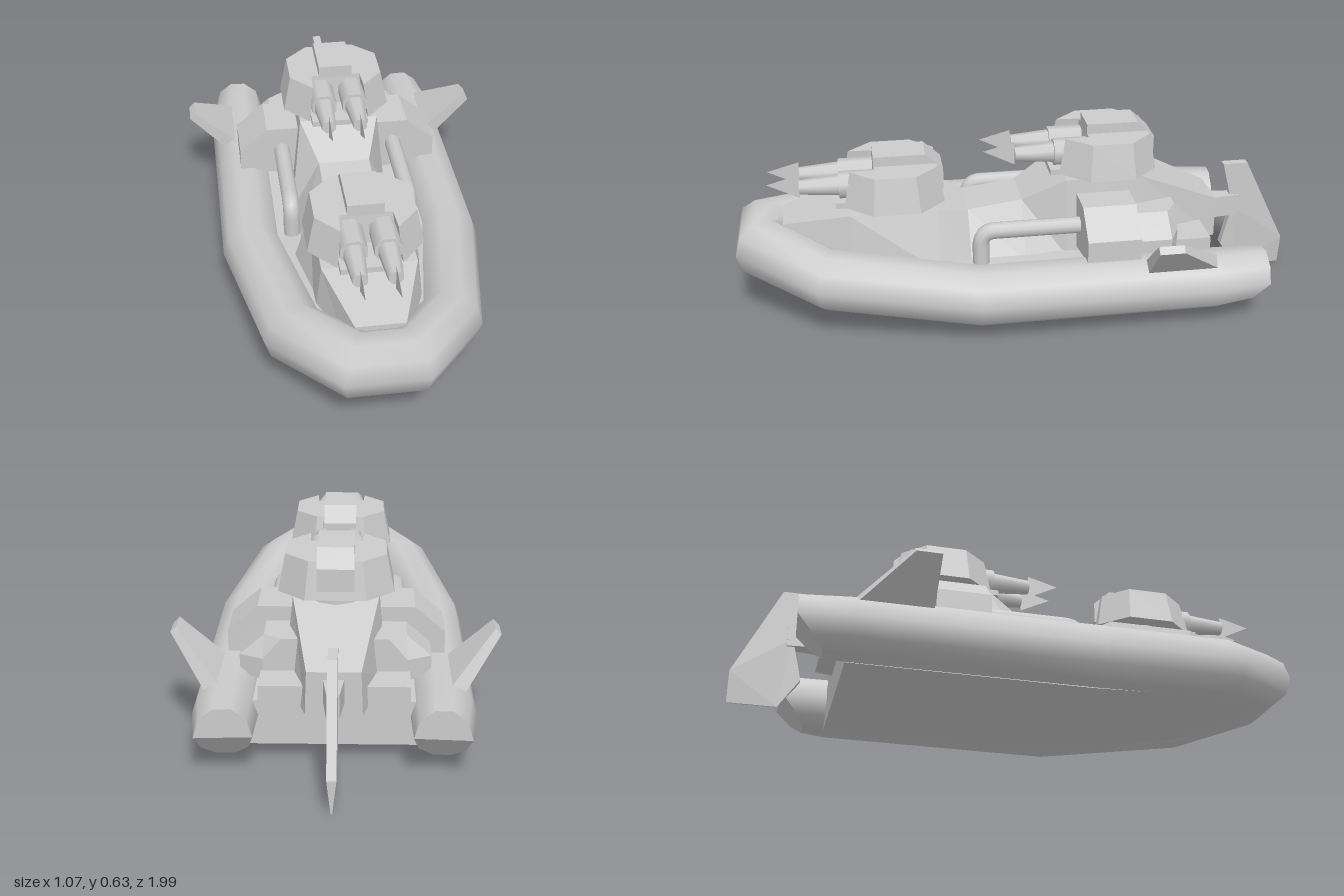
import * as THREE from 'three';

const flat = new THREE.MeshStandardMaterial({ color: 0xcccccc, flatShading: true });
const smooth = new THREE.MeshStandardMaterial({ color: 0xcccccc });
const thin = new THREE.MeshStandardMaterial({ color: 0xcccccc, side: THREE.DoubleSide });

function add(parent, name, geometry, material = flat) {
  const mesh = new THREE.Mesh(geometry, material);
  mesh.name = name;
  parent.add(mesh);
  return mesh;
}

// Closed solid through rings of equal point count; faces are turned outward by signed volume
function loft(rings) {
  const n = rings[0].length, tris = [];
  for (let i = 0; i + 1 < rings.length; i++) {
    for (let j = 0; j < n; j++) {
      const k = (j + 1) % n, a = rings[i], b = rings[i + 1];
      tris.push([a[j], a[k], b[k]], [a[j], b[k], b[j]]);
    }
  }
  const first = rings[0], last = rings[rings.length - 1];
  for (let j = 1; j + 1 < n; j++) {
    tris.push([first[0], first[j + 1], first[j]], [last[0], last[j], last[j + 1]]);
  }
  const v = (p) => new THREE.Vector3(...p);
  const volume = tris.reduce((s, [a, b, c]) => s + v(a).dot(v(b).cross(v(c))), 0);
  const out = tris.flatMap(([a, b, c]) => (volume < 0 ? [a, c, b] : [a, b, c])).flat();
  const g = new THREE.BufferGeometry();
  g.setAttribute('position', new THREE.Float32BufferAttribute(out, 3));
  g.computeVertexNormals();
  return g;
}

// Ten-sided inflated tube swept around the bow, with undercut stern ends
function makeTube(parent) {
  const half = [
    [0.335, 0.15, -0.81, 0.09], [0.345, 0.15, -0.64, 0.105], [0.347, 0.15, 0.18, 0.105],
    [0.253, 0.2, 0.678, 0.105], [0.085, 0.25, 0.9, 0.105],
  ];
  const path = [...half, ...half.slice().reverse().map(([x, y, z, r]) => [-x, y, z, r])];
  const normal = (a, b) => new THREE.Vector2(b[2] - a[2], a[0] - b[0]).normalize();
  const sides = 10, pos = [], index = [], rings = [];
  path.forEach((p, i) => {
    const n = new THREE.Vector2();
    if (i > 0) n.add(normal(path[i - 1], p));
    if (i + 1 < path.length) n.add(normal(p, path[i + 1]));
    n.normalize();
    const end = i === 0 || i === path.length - 1;
    const ring = [];
    for (let j = 0; j < sides; j++) {
      const a = (j / sides) * Math.PI * 2, c = Math.cos(a) * p[3], s = Math.sin(a);
      const cut = end ? Math.max(0, -s) * 0.09 : 0;
      ring.push([p[0] + n.x * c, p[1] + s * (end ? 0.1 : p[3]), p[2] + n.y * c + cut]);
    }
    rings.push(ring);
    pos.push(...ring.flat());
    if (i === 0) return;
    for (let j = 0; j < sides; j++) {
      const k = (j + 1) % sides, a = (i - 1) * sides, b = i * sides;
      index.push(a + j, a + k, b + k, a + j, b + k, b + j);
    }
  });
  const g = new THREE.BufferGeometry();
  g.setAttribute('position', new THREE.Float32BufferAttribute(pos, 3));
  g.setIndex(index);
  g.computeVertexNormals();
  add(parent, 'inflatedTube', g, thin);
  // Stern end caps
  for (const ring of [rings[0], rings[rings.length - 1]]) {
    const inner = ring.map(([x, y, z]) => [x, y, z + 0.04]);
    add(parent, 'tubeEndCap', loft([ring, inner]));
  }
}

// Octagonal turret with a notch for two guns and an overhanging roof hatch
function makeTurret(y, z) {
  const turret = new THREE.Group();
  turret.name = 'turret';
  turret.position.set(0, y, z);
  add(turret, 'turretRing', new THREE.CylinderGeometry(0.14, 0.14, 0.03, 16), smooth);

  const right = [[0.1, 0.08], [0.105, 0.175], [0.19, 0.08], [0.19, -0.08], [0.1, -0.17]];
  const plan = [...right, ...right.slice().reverse().map(([x, d]) => [-x, d])];
  const shape = new THREE.Shape(plan.map(([x, d]) => new THREE.Vector2(x, -d)));
  const g = new THREE.ExtrudeGeometry(shape, { depth: 0.125, bevelEnabled: false });
  g.rotateX(-Math.PI / 2);
  const p = g.attributes.position;
  for (let i = 0; i < p.count; i++) {
    const k = 1 - p.getY(i) * 1.05;
    p.setX(i, p.getX(i) * k);
    p.setZ(i, p.getZ(i) * k);
  }
  g.computeVertexNormals();
  add(turret, 'turretShell', g).position.y = 0.01;
  add(turret, 'gunSill', new THREE.BoxGeometry(0.2, 0.02, 0.15)).position.set(0, 0.015, 0.13);

  const hatch = [[0.07, 0.11], [0.07, 0.17], [-0.11, 0.17], [-0.17, 0.115], [-0.17, 0.04], [-0.1, 0.03]];
  add(turret, 'roofHatch', loft([-0.06, 0.06].map((x) => hatch.map(([d, h]) => [x, h, d]))));

  for (const s of [-1, 1]) {
    const gun = new THREE.Group();
    gun.name = 'gun';
    gun.position.set(0.055 * s, 0.075, 0);
    turret.add(gun);
    const turned = (name, rFront, rBack, z0, z1) => {
      const c = new THREE.CylinderGeometry(rFront, rBack, z1 - z0, 8);
      c.rotateY(Math.PI / 8).rotateX(Math.PI / 2);
      add(gun, name, c, smooth).position.z = (z0 + z1) / 2;
    };
    turned('gunSleeve', 0.047, 0.047, 0.05, 0.19);
    turned('gunBarrel', 0.025, 0.037, 0.18, 0.325);
    // Flat upright muzzle blade
    const blade = new THREE.BufferGeometry();
    blade.setAttribute('position', new THREE.Float32BufferAttribute(
      [0, 0.045, 0.325, 0, -0.04, 0.325, 0, 0.015, 0.435], 3));
    blade.computeVertexNormals();
    add(gun, 'muzzleBlade', blade, thin);
  }
  return turret;
}

export function createModel() {
  const boat = new THREE.Group();
  boat.name = 'gunboat';
  makeTube(boat);

  // Hull floor: z, edge x, edge y, inner x, inner y, deck x, deck y
  const floor = [
    [-0.65, 0.31, 0.05, 0.12, 0.085, 0.26, 0.2], [0.18, 0.31, 0.05, 0.12, 0.085, 0.26, 0.2],
    [0.67, 0.22, 0.105, 0.1, 0.125, 0.2, 0.25], [0.89, 0.07, 0.155, 0.04, 0.16, 0.06, 0.29],
  ];
  add(boat, 'hullFloor', loft(floor.map(([z, ex, ey, ix, iy, dx, dy]) => [
    [-ex, ey, z], [-ix, iy, z], [ix, iy, z], [ex, ey, z], [dx, dy, z], [-dx, dy, z],
  ])));

  // Superstructure: z, top half width, top y, bottom half width
  const body = [
    [-0.71, 0.085, 0.325, 0.09], [-0.41, 0.14, 0.46, 0.17], [-0.15, 0.14, 0.46, 0.17],
    [0, 0.09, 0.375, 0.19], [0.19, 0.09, 0.35, 0.19], [0.3, 0.155, 0.385, 0.22],
    [0.6, 0.155, 0.385, 0.18], [0.83, 0.08, 0.335, 0.09],
  ];
  add(boat, 'superstructure', loft(body.map(([z, t, y, b]) => [
    [-b, 0.18, z], [b, 0.18, z], [t, y, z], [-t, y, z],
  ])));
  add(boat, 'sternBlock', new THREE.BoxGeometry(0.48, 0.14, 0.17)).position.set(0, 0.18, -0.565);

  boat.add(makeTurret(0.385, 0.44), makeTurret(0.46, -0.305));

  for (const s of [1, -1]) {
    // Chamfered side pod and the smaller block behind it
    const pod = [[0.1, 0.2], [0.36, 0.25], [0.36, 0.325], [0.26, 0.41], [0.1, 0.41]];
    add(boat, 'sidePod', loft([-0.37, -0.185].map((z) => pod.map(([x, y]) => [x * s, y, z]))));
    const rear = [[0.1, 0.2], [0.31, 0.22], [0.31, 0.29], [0.23, 0.36], [0.1, 0.36]];
    add(boat, 'rearPod', loft([[-0.53, 0.75], [-0.49, 1], [-0.36, 1]].map(([z, k]) =>
      rear.map(([x, y]) => [x * k * s, y, z]))));

    // Bent pipe running forward and down into the deck
    const pipe = new THREE.CurvePath();
    const v = (y, z) => new THREE.Vector3(0.207 * s, y, z);
    pipe.add(new THREE.LineCurve3(v(0.32, -0.2), v(0.32, 0.11)));
    pipe.add(new THREE.QuadraticBezierCurve3(v(0.32, 0.11), v(0.32, 0.16), v(0.27, 0.16)));
    pipe.add(new THREE.LineCurve3(v(0.27, 0.16), v(0.17, 0.16)));
    add(boat, 'pipe', new THREE.TubeGeometry(pipe, 32, 0.029, 10), smooth);

    // Slanted side fin, swept along its trailing edge
    const fin = (x, y, dx, dy, back) => [
      [x * s, y, -0.385], [(x + dx) * s, y - dy, -0.385],
      [(x + dx) * s, y - dy, back], [x * s, y, back],
    ];
    add(boat, 'sideFin', loft([fin(0.37, 0.25, 0.035, 0.035, -0.635), fin(0.515, 0.377, 0.02, 0.02, -0.47)]));
  }

  // Rudder, thinned toward its foot, on a short bracket
  const profile = [[-0.755, 0.425], [-0.845, 0.425], [-1, 0.11], [-1, 0], [-0.835, 0], [-0.765, 0.1], [-0.8, 0.25]];
  const g = new THREE.ExtrudeGeometry(
    new THREE.Shape(profile.map(([z, y]) => new THREE.Vector2(-z, y))), { depth: 0.03, bevelEnabled: false });
  g.translate(0, 0, -0.015).rotateY(Math.PI / 2);
  const p = g.attributes.position;
  for (let i = 0; i < p.count; i++) {
    p.setX(i, p.getX(i) * Math.min(1, 0.15 + p.getY(i) * 9));
    p.setZ(i, p.getZ(i));
  }
  g.computeVertexNormals();
  add(boat, 'rudder', g);
  add(boat, 'rudderBracket', loft([[-0.82, 0.02], [-0.69, 0.035]].map(([z, w]) => [
    [-w, 0.22, z], [w, 0.22, z], [w, 0.3, z], [-w, 0.3, z],
  ])));
  return boat;
}
